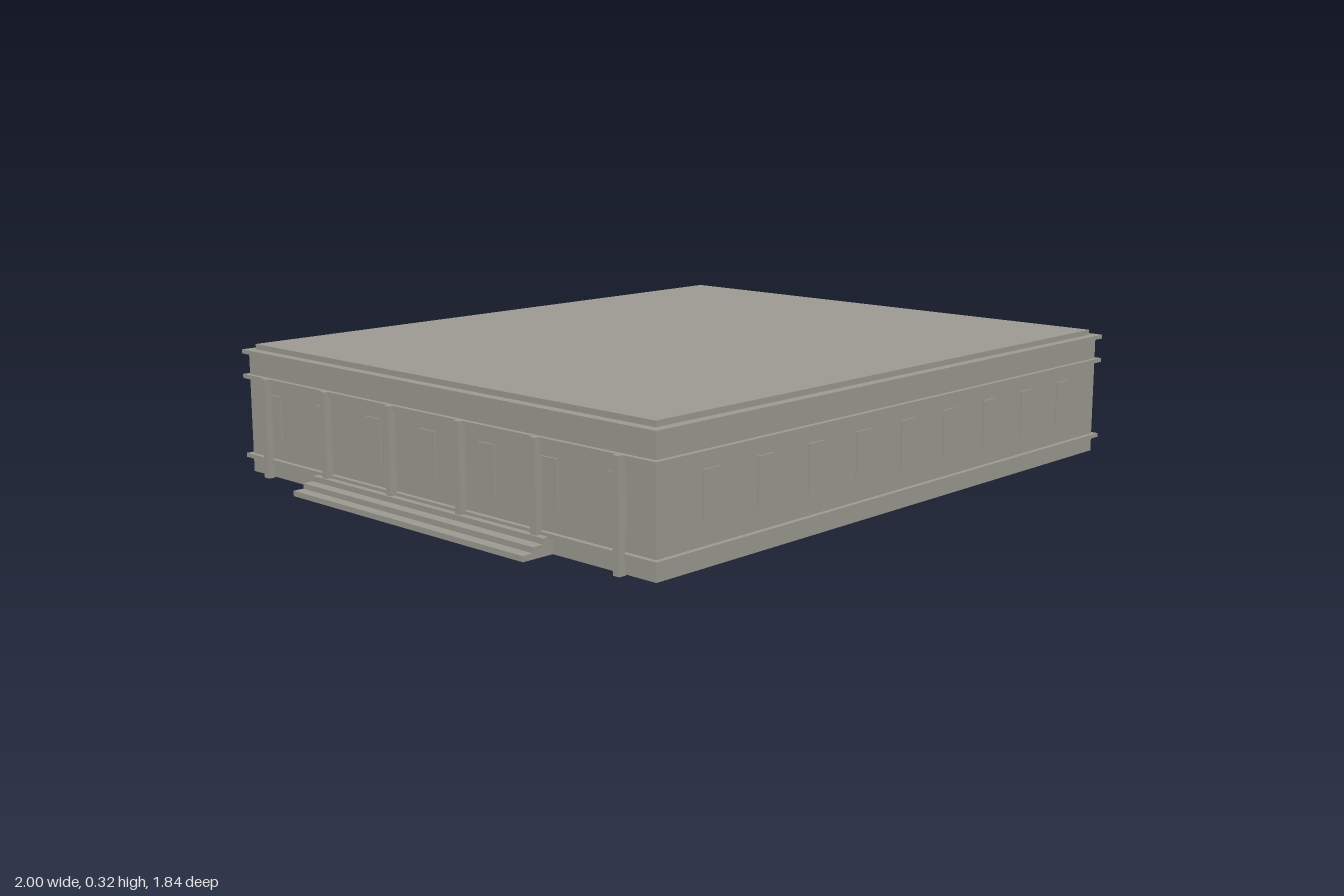
import * as THREE from 'three';

export function createModel() {
  const stone = new THREE.MeshStandardMaterial({ color: 0x9d9b93 });
  stone.name = 'stone grey';

  const model = new THREE.Group();
  model.name = 'building';
  const hall = new THREE.Group();
  hall.name = 'hall';
  hall.rotation.y = 0.3025; // the hall stands turned on its plot
  model.add(hall);

  const W = 1.626, D = 1.386; // wall footprint

  // box given by its centre in plan and its bottom and top heights
  function block(name, w, d, y0, y1, x = 0, z = 0) {
    const mesh = new THREE.Mesh(new THREE.BoxGeometry(w, y1 - y0, d), stone);
    mesh.position.set(x, (y0 + y1) / 2, z);
    mesh.name = name;
    hall.add(mesh);
    return mesh;
  }

  // walls, the three bands round them and the roof
  block('walls', W, D, 0, 0.3);
  block('baseBand', W + 0.024, D + 0.024, 0.036, 0.046);
  block('upperBand', W + 0.024, D + 0.024, 0.234, 0.244);
  block('cornice', W + 0.024, D + 0.024, 0.295, 0.305);
  block('roof', W - 0.024, D - 0.024, 0.305, 0.318);

  // slightly raised windows on all four walls
  const winW = 0.05, out = 0.008, y0 = 0.092, y1 = 0.204;
  for (const side of [-1, 1]) {
    for (let i = -4; i <= 4; i++)
      block('longWallWindow', winW, out, y0, y1, i * 0.1637, side * D / 2);
    for (let i = -3; i <= 3; i++)
      block('shortWallWindow', out, winW, y0, y1, side * W / 2, i * 0.196);
  }

  // row of slim columns on the entrance side
  for (let i = 0; i < 6; i++) {
    const z = -0.605 + i * 0.242;
    block('column', 0.018, 0.018, 0, 0.244, -0.827, z);
  }

  // entrance steps
  const depth = 0.082, count = 3;
  for (let i = 0; i < count; i++) {
    const run = depth * (count - i) / count;
    block('step', run, 0.802, i * 0.013, (i + 1) * 0.013, -W / 2 - run / 2, -0.004);
  }

  return model;
}
